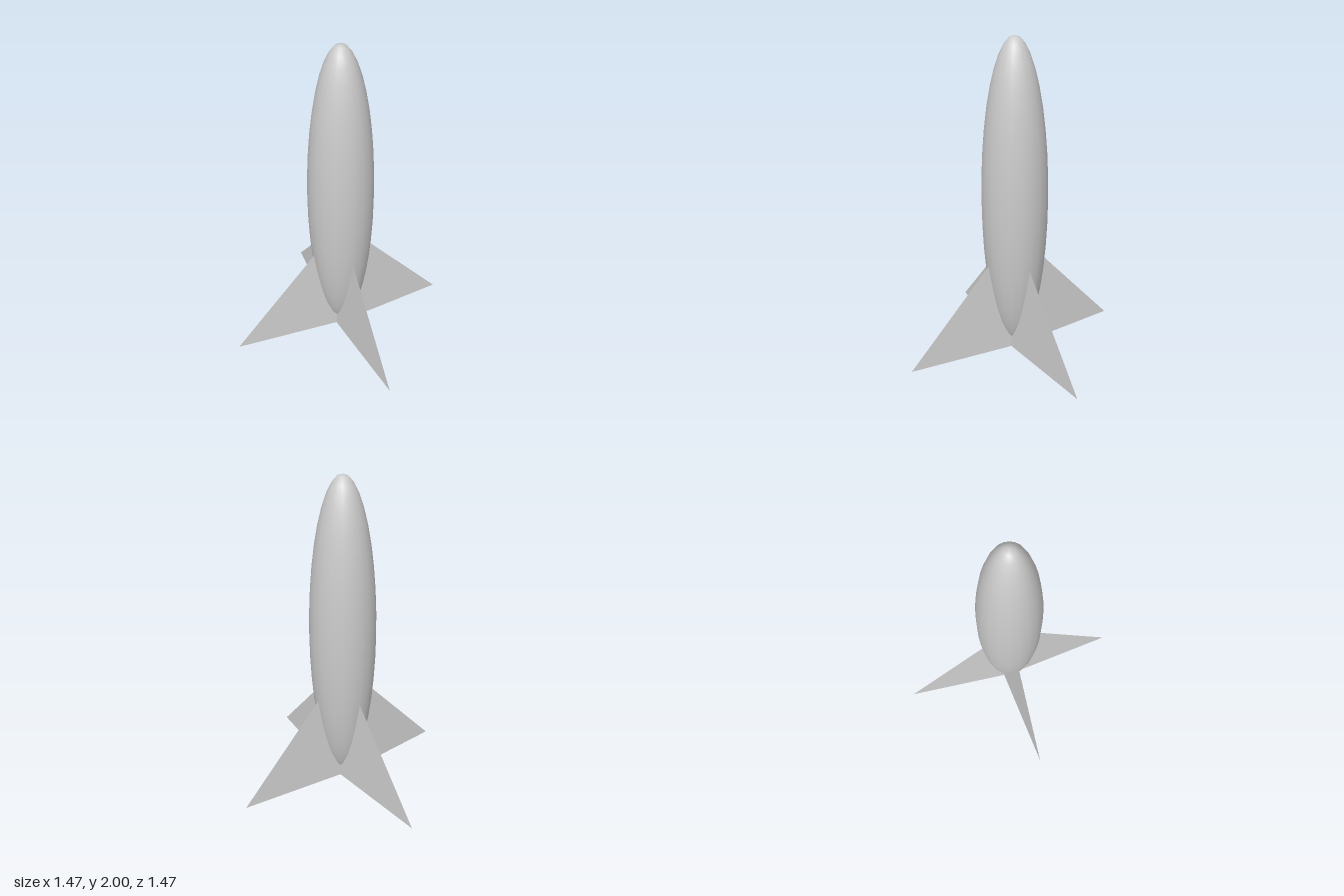
import * as THREE from 'three';

export function createModel() {
  const model = new THREE.Group();
  const smooth = new THREE.MeshStandardMaterial({ color: 0xcccccc });
  const flat = new THREE.MeshStandardMaterial({ color: 0xcccccc, flatShading: true });

  // Long ellipsoid hull
  const hullGeometry = new THREE.SphereGeometry(1, 20, 20);
  hullGeometry.scale(0.205, 1, 0.205);
  const hull = new THREE.Mesh(hullGeometry, smooth);
  hull.name = 'hull';
  hull.position.y = 1;
  model.add(hull);

  // Two crossed, thin diamond-based pyramids form the four tail fins
  const finHeight = 0.79;
  const finGeometry = new THREE.ConeGeometry(1, 1, 4);
  finGeometry.scale(0.733, finHeight, 0.062);
  ['sideFins', 'frontBackFins'].forEach((name, i) => {
    const fins = new THREE.Mesh(finGeometry, flat);
    fins.name = name;
    fins.position.y = finHeight / 2;
    fins.rotation.y = i * Math.PI / 2;
    model.add(fins);
  });

  return model;
}
